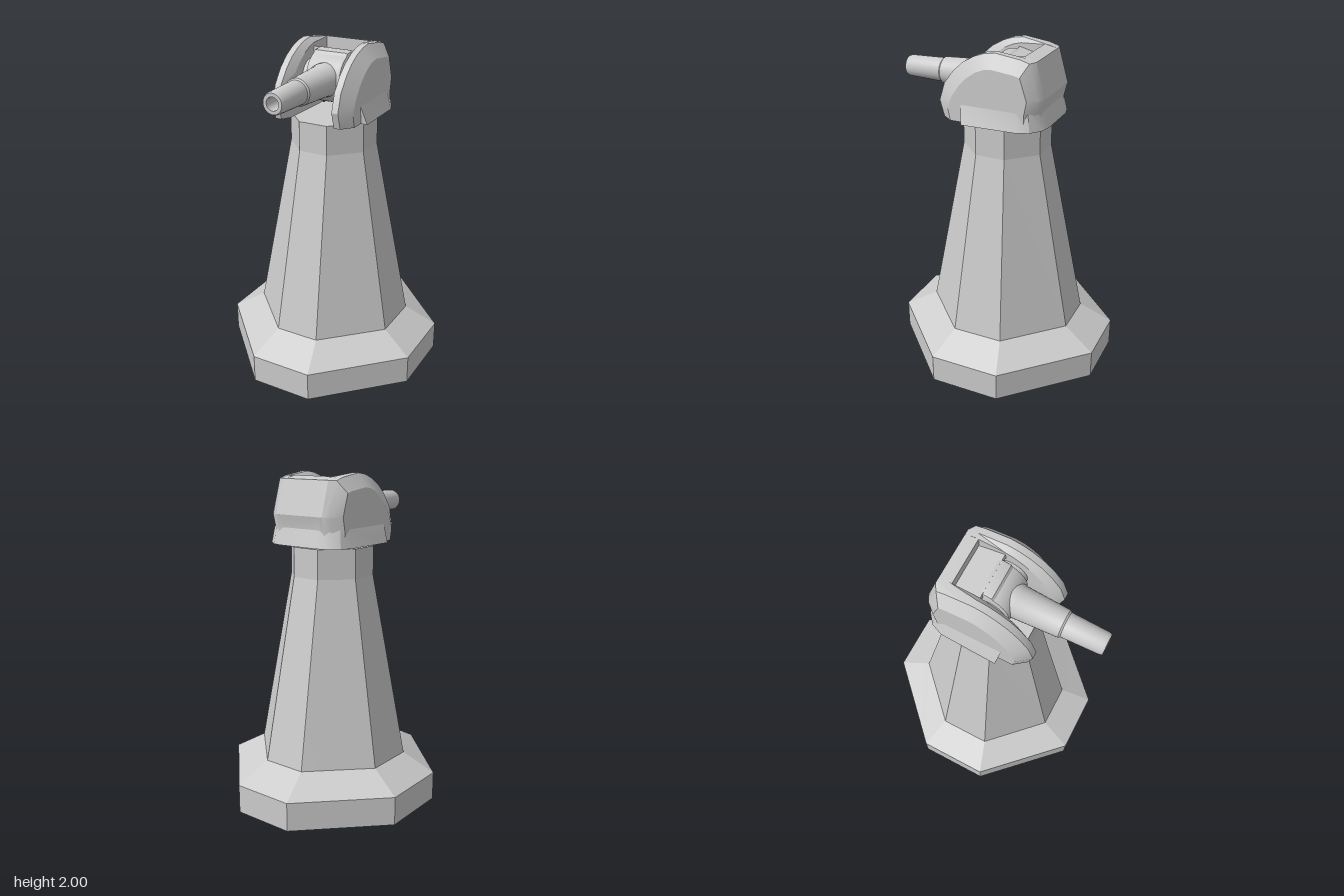
import * as THREE from 'three';
import { toCreasedNormals } from 'three/addons/utils/BufferGeometryUtils.js';

// Skin a list of equal-length rings of [x, y, z] points.
function loft(rings, { closed = true, caps = true, crease = 0.5 } = {}) {
  const n = rings[0].length;
  const pos = [];
  const tri = (...p) => p.forEach((v) => pos.push(...v));
  for (let i = 0; i < rings.length - 1; i++) {
    for (let j = 0; j < (closed ? n : n - 1); j++) {
      const k = (j + 1) % n;
      const a = rings[i][j], b = rings[i][k], c = rings[i + 1][j], d = rings[i + 1][k];
      tri(a, c, d);
      tri(a, d, b);
    }
  }
  if (caps) {
    const mid = (r) => [0, 1, 2].map((q) => r.reduce((s, p) => s + p[q], 0) / n);
    const first = rings[0], last = rings[rings.length - 1];
    const m0 = mid(first), m1 = mid(last);
    for (let j = 0; j < n; j++) {
      const k = (j + 1) % n;
      tri(m0, first[j], first[k]);
      tri(m1, last[k], last[j]);
    }
  }
  const g = new THREE.BufferGeometry();
  g.setAttribute('position', new THREE.Float32BufferAttribute(pos, 3));
  return toCreasedNormals(g, crease);
}

// Octagon with half extents hx, hz and half lengths cx, cz of the straight sides.
const octagon = (y, hx, hz, cx, cz) => [
  [cx, y, hz], [-cx, y, hz], [-hx, y, cz], [-hx, y, -cz],
  [-cx, y, -hz], [cx, y, -hz], [hx, y, -cz], [hx, y, cz],
];

export function createModel() {
  const model = new THREE.Group();
  const grey = new THREE.MeshStandardMaterial({ color: 0xcccccc });
  const thin = new THREE.MeshStandardMaterial({ color: 0xcccccc, side: THREE.DoubleSide });
  const add = (name, geometry, material = grey, parent = model) => {
    const mesh = new THREE.Mesh(geometry, material);
    mesh.name = name;
    parent.add(mesh);
    return mesh;
  };

  // Octagonal plinth, tapering column and straight neck
  add('tower', loft([
    octagon(0, 0.635, 0.66, 0.19, 0.215),
    octagon(0.175, 0.635, 0.66, 0.19, 0.215),
    octagon(0.285, 0.45, 0.465, 0.135, 0.155),
    octagon(1.395, 0.245, 0.247, 0.09, 0.09),
    octagon(1.572, 0.245, 0.247, 0.09, 0.09),
  ], { crease: 0.1 }));

  const turret = new THREE.Group();
  turret.name = 'turret';
  model.add(turret);

  // Cheeks: [z, y] profiles from the inner face out to the bevelled outer face
  const back = [[-0.19, 1.98], [-0.25, 1.966], [-0.307, 1.765], [-0.286, 1.68], [-0.286, 1.59]];
  const front = [[0.307, 1.59], [0.334, 1.685], [0.3, 1.79], [0.24, 1.87], [0.18, 1.925],
    [0.11, 1.966], [0.045, 1.99], [-0.02, 2]];
  const inner = [[0.25, 1.59], [0.27, 1.68], [0.245, 1.765], [0.195, 1.84], [0.145, 1.89],
    [0.09, 1.93], [0.035, 1.957], [-0.02, 1.972], ...back];
  const rim = [...front, ...back];
  const shoulder = [...front, [-0.17, 1.98], [-0.225, 1.964], [-0.288, 1.765], [-0.267, 1.68], [-0.267, 1.59]];
  const outer = [[0.24, 1.59], [0.255, 1.66], [0.225, 1.74], [0.18, 1.805], [0.13, 1.855],
    [0.08, 1.89], [0.03, 1.912], [-0.02, 1.92], [-0.15, 1.905], [-0.19, 1.895],
    [-0.232, 1.765], [-0.215, 1.68], [-0.215, 1.59]];
  const layers = [[0.14, inner], [0.17, rim], [0.21, shoulder], [0.262, outer]];
  for (const side of [1, -1]) {
    const rings = layers.map(([x, p]) => p.map(([z, y]) => [side * x, y, z]));
    if (side < 0) rings.reverse();
    add(side > 0 ? 'leftCheek' : 'rightCheek', loft(rings), grey, turret);
  }

  // Rear wall joining the cheeks
  const wall = [[-0.17, 1.59], [-0.17, 1.982], ...back.slice(1)];
  add('rearWall', loft([-0.145, 0.145].map((x) => wall.map(([z, y]) => [x, y, z]))), grey, turret);

  // Flared skirt round the sides and back: [top x, top z, bottom x, bottom z]
  const half = [[0.23, 0.17, 0.23, 0.155], [0.262, 0.17, 0.3, 0.155], [0.262, -0.17, 0.288, -0.18],
    [0.245, -0.235, 0.26, -0.25], [0.2, -0.27, 0.2, -0.298], [0.13, -0.287, 0.13, -0.315]];
  const path = [...half, ...half.map(([a, b, c, d]) => [-a, b, -c, d]).reverse()];
  add('skirt', loft([
    path.map(([x, z]) => [x, 1.694, z]),
    path.map(([, , x, z]) => [x, 1.588, z]),
    path.map(([, , x, z]) => [x * 0.8, 1.589, z * 0.8]),
  ], { closed: false, caps: false }), thin, turret);

  // Gun cradle: rounded block with a bevelled edge and a sloping rear deck
  const cradle = new THREE.Shape();
  cradle.moveTo(0.14, 1.87);
  cradle.lineTo(0.02, 1.935);
  cradle.lineTo(-0.03, 1.93);
  cradle.absarc(0.01, 1.79, 0.135, Math.PI * 0.62, Math.PI * 1.5, false);
  cradle.lineTo(0.14, 1.68);
  const block = new THREE.ExtrudeGeometry(cradle, {
    depth: 0.19, bevelThickness: 0.018, bevelSize: 0.015, bevelSegments: 2, curveSegments: 16,
  });
  block.translate(0, 0, -0.095).rotateY(Math.PI / 2).scale(1, 1, 1);
  // The shape's x axis now runs along -z, so its round end faces forward
  add('gunCradle', toCreasedNormals(block, 0.5), grey, turret);

  const deck = add('rearDeck', new THREE.BoxGeometry(0.28, 0.025, 0.16), grey, turret);
  deck.position.set(0, 1.918, -0.09);
  deck.rotation.x = -0.25;

  const trunnion = new THREE.CylinderGeometry(0.1, 0.1, 0.3, 28).rotateZ(Math.PI / 2);
  add('trunnion', trunnion, grey, turret).position.set(0, 1.79, 0.02);

  // Stepped, tapering barrel with a bored muzzle
  const barrel = [[0.098, 0.04], [0.098, 0.13], [0.093, 0.14], [0.079, 0.405], [0.071, 0.415],
    [0.064, 0.635], [0.058, 0.65], [0.038, 0.65], [0.034, 0.5], [0, 0.5]];
  const tube = new THREE.LatheGeometry(barrel.map(([r, z]) => new THREE.Vector2(r, z)), 32);
  tube.rotateX(Math.PI / 2);
  add('barrel', toCreasedNormals(tube, 0.5), grey, turret).position.y = 1.795;

  return model;
}
